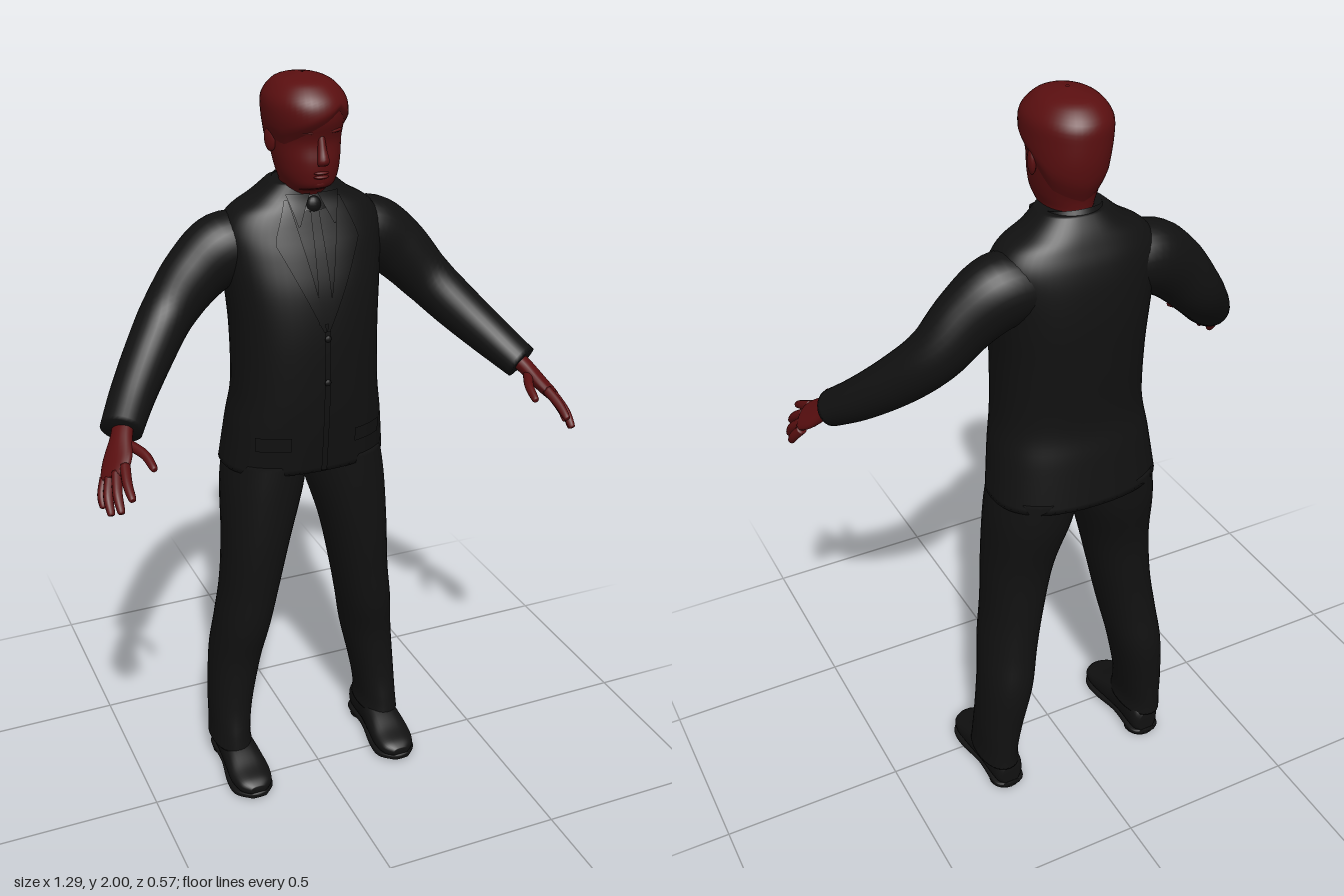
import * as THREE from 'three';

const V = (x, y, z) => new THREE.Vector3(x, y, z);
const lerp = THREE.MathUtils.lerp;
const suit = new THREE.MeshStandardMaterial({ color: 0x111111, side: THREE.DoubleSide });
suit.name = 'black cloth';
const skin = new THREE.MeshStandardMaterial({ color: 0x5a0f10, side: THREE.DoubleSide });
skin.name = 'dark red skin';

// Grid surface from fn(u, v); closed wraps u, caps fill both ends
function grid(fn, nu, nv, closed = false, caps = false) {
  const pos = [], idx = [], cols = closed ? nu : nu + 1;
  for (let i = 0; i <= nv; i++)
    for (let j = 0; j < cols; j++) pos.push(...fn(j / nu, i / nv).toArray());
  for (let i = 0; i < nv; i++)
    for (let j = 0; j < nu; j++) {
      const k = (j + 1) % cols, a = i * cols + j, b = a + cols, c = i * cols + k, d = c + cols;
      idx.push(a, b, c, b, d, c);
    }
  if (caps) for (const i of [0, nv]) {
    const mid = V(0, 0, 0), at = pos.length / 3;
    for (let j = 0; j < cols; j++) mid.add(V().fromArray(pos, (i * cols + j) * 3));
    pos.push(...mid.divideScalar(cols).toArray());
    for (let j = 0; j < cols; j++) {
      const a = i * cols + j, b = i * cols + (j + 1) % cols;
      idx.push(at, ...(i ? [b, a] : [a, b]));
    }
  }
  const g = new THREE.BufferGeometry();
  g.setAttribute('position', new THREE.Float32BufferAttribute(pos, 3));
  g.setIndex(idx);
  g.computeVertexNormals();
  return g;
}

// Rows are [x, y, z, radiusU, radiusV]; refine them with a Catmull-Rom curve
function smooth(rows, n = 6) {
  const out = [], last = rows.length - 1;
  for (let i = 0; i <= last * n; i++) {
    const k = Math.min(Math.floor(i / n), last - 1), t = i / n - k;
    const [a, b, c, d] = [Math.max(k - 1, 0), k, k + 1, Math.min(k + 2, last)].map(q => rows[q]);
    out.push(b.map((_, q) => 0.5 * (2 * b[q] + (c[q] - a[q]) * t
      + (2 * a[q] - 5 * b[q] + 4 * c[q] - d[q]) * t * t
      + (3 * b[q] - a[q] - 3 * c[q] + d[q]) * t * t * t)));
  }
  return out;
}
const bend = (v, p) => Math.sign(v) * Math.abs(v) ** p;

// Loft through refined rows; axis fixes the section normal, p below 1 is boxier
function loft(rows, { hint = V(1, 0, 0), axis = null, p = 1, sides = 28 } = {}) {
  const n = rows.length - 1;
  const frames = rows.map((r, i) => {
    const a = rows[Math.max(i - 1, 0)], b = rows[Math.min(i + 1, n)];
    const T = axis ? axis.clone() : V(b[0] - a[0], b[1] - a[1], b[2] - a[2]).normalize();
    const u = hint.clone().addScaledVector(T, -hint.dot(T)).normalize();
    return [V(r[0], r[1], r[2]), u, u.clone().cross(T), r];
  });
  return grid((s, t) => {
    const [c, u, v, r] = frames[Math.round(t * n)], a = s * Math.PI * 2;
    return c.clone().addScaledVector(u, bend(Math.cos(a), p) * r[3])
      .addScaledVector(v, bend(Math.sin(a), p) * r[4]);
  }, sides, n, true, true);
}

// Row of an upright loft at height y
function rowAt(rows, y) {
  let i = 0;
  while (i < rows.length - 2 && rows[i + 1][1] < y) i++;
  const a = rows[i], b = rows[i + 1];
  const t = THREE.MathUtils.clamp((y - a[1]) / (b[1] - a[1]), 0, 1);
  return a.map((v, q) => lerp(v, b[q], t));
}
const table = (pts, x) => {
  const i = Math.max(1, pts.findIndex(q => q[0] >= x));
  const [a, b] = [pts[i - 1], pts[i]];
  return lerp(a[1], b[1], (x - a[0]) / (b[0] - a[0]));
};

const UP = V(0, 1, 0);
// Upright rows given as [y, backZ, frontZ, halfWidth, centreX]
const upright = list => smooth(list.map(([y, b, f, w, x = 0]) => [x, y, (b + f) / 2, w, (f - b) / 2]));
const TORSO_P = 0.85;
const torso = upright([
  [0.975, -0.28, 0.028, 0.228], [1.1, -0.262, 0.042, 0.212], [1.2, -0.247, 0.05, 0.197],
  [1.35, -0.255, 0.052, 0.195], [1.47, -0.26, 0.04, 0.203], [1.56, -0.255, 0.015, 0.212],
  [1.62, -0.244, -0.008, 0.212], [1.665, -0.228, -0.025, 0.185], [1.7, -0.212, -0.038, 0.128],
  [1.735, -0.19, -0.045, 0.085]]);
const head = upright([
  [1.65, -0.175, -0.04, 0.062], [1.70, -0.172, -0.04, 0.06], [1.722, -0.17, -0.025, 0.06],
  [1.738, -0.17, 0.012, 0.063], [1.765, -0.175, 0.022, 0.073], [1.80, -0.188, 0.025, 0.08],
  [1.85, -0.2, 0.022, 0.086], [1.9, -0.203, 0.04, 0.092, -0.003], [1.94, -0.2, 0.037, 0.09, -0.005],
  [1.97, -0.175, 0.01, 0.07, -0.007], [1.985, -0.145, -0.02, 0.046, -0.008], [1.994, -0.085, -0.075, 0.004, -0.008]]);

// Panel lying on the front of the jacket between two edges x(t), from y0 to y1
function panel(y0, y1, xa, xb, lift) {
  return grid((u, v) => {
    const y = lerp(y0, y1, v), x = lerp(xa(v), xb(v), u), r = rowAt(torso, y);
    const k = Math.min(1, Math.abs(x) / r[3]) ** (2 / TORSO_P);
    return V(x, y, r[2] + r[4] * (1 - k) ** (TORSO_P / 2) + lift);
  }, 8, 16);
}

export function createModel() {
  const model = new THREE.Group();
  model.name = 'suitedMan';
  const add = (name, geo, mat, parent = model) => {
    const m = new THREE.Mesh(geo, mat);
    m.name = name;
    parent.add(m);
    return m;
  };

  // Jacket, shirt front and tie
  add('jacket', loft(torso, { axis: UP, p: TORSO_P, sides: 48 }), suit);
  add('shirtFront', panel(1.4, 1.7, t => -0.07 * t, t => 0.07 * t, 0.002), suit);
  add('tie', panel(1.4, 1.685, t => -0.02 + 0.009 * t, t => 0.02 - 0.009 * t, 0.007), suit);
  add('tieKnot', new THREE.SphereGeometry(0.02, 14, 10).scale(1, 1.1, 0.7).translate(0, 1.685, -0.03), suit);
  add('jacketEdge', panel(0.98, 1.38, t => -0.004, t => 0.012, 0.004), suit);
  for (const y of [1.24, 1.36])
    add('button', new THREE.SphereGeometry(0.009, 10, 6).scale(1, 1, 0.5).translate(0.004, y, 0.057), suit);
  // Collar, higher at the nape
  add('collar', grid((u, v) => {
    const a = u * Math.PI * 2, back = (1 - Math.sin(a)) / 2, r = lerp(0.094, 0.074, v);
    return V(Math.cos(a) * r, lerp(1.672, 1.705, back) + 0.042 * v,
      -0.112 + Math.sin(a) * (r - 0.002));
  }, 36, 4, true), suit);

  // Head, nose, lips and swept hair
  add('head', loft(head, { axis: UP, p: 0.95, sides: 40 }), skin);
  add('nose', loft(smooth([[0, 1.868, 0.018, 0.008, 0.008], [0, 1.835, 0.026, 0.011, 0.011],
    [0, 1.808, 0.034, 0.015, 0.013], [0, 1.796, 0.03, 0.013, 0.008]], 4), { axis: V(0, -1, 0), sides: 14 }), skin);
  for (const y of [1.766, 1.776])
    add('lip', new THREE.SphereGeometry(0.02, 14, 8).scale(1, 0.25, 0.5).translate(0, y, 0.02), skin);
  add('chin', new THREE.SphereGeometry(0.024, 14, 10).scale(1.1, 0.6, 0.8).translate(0, 1.748, 0), skin);
  const hairline = [[0, 1.855], [0.1, 1.885], [0.17, 1.925], [0.25, 1.895], [0.35, 1.86],
    [0.42, 1.84], [0.5, 1.85], [0.6, 1.79], [0.75, 1.76], [0.9, 1.79], [1, 1.855]];
  add('hair', grid((u, v) => {
    const a = u * Math.PI * 2, low = table(hairline, u);
    const y = lerp(low, 1.994, Math.sin(v * Math.PI / 2)), r = rowAt(head, y);
    const out = 0.009 * (1 - v ** 4) * Math.min(1, 0.1 + v * 8);
    return V(r[0] + bend(Math.cos(a), 0.95) * (r[3] + out), y + 0.006 * v,
      r[2] + bend(Math.sin(a), 0.95) * (r[4] + out));
  }, 48, 24, true), skin);

  for (const s of [1, -1]) {
    const side = new THREE.Group();
    side.name = s > 0 ? 'leftSide' : 'rightSide';
    model.add(side);
    const flip = rows => smooth(rows.map(([x, ...r]) => [x * s, ...r]));

    // Face details
    add('ear', new THREE.SphereGeometry(0.03, 14, 12).scale(0.35, 1.1, 0.7)
      .rotateY(-s * 0.3).translate(s * 0.088, 1.845, -0.09), skin, side);
    add('brow', new THREE.SphereGeometry(0.026, 14, 8).scale(1, 0.22, 0.45)
      .rotateY(s * 0.4).translate(s * 0.036, 1.875, 0.013), skin, side);
    add('eye', new THREE.SphereGeometry(0.013, 12, 8).scale(1, 0.4, 0.25)
      .rotateY(s * 0.4).translate(s * 0.034, 1.857, 0.009), suit, side);

    // Lapel, collar point and pocket flap
    add('lapel', panel(1.38, 1.7, t => s * 0.065 * t,
      t => s * (t < 0.7 ? 0.008 + 0.15 * t : 0.113 - 0.13 * (t - 0.7)), 0.009), suit, side);
    add('shirtCollarPoint', panel(1.64, 1.715, t => s * (0.045 - 0.035 * t), t => s * (0.05 + 0.02 * t), 0.014), suit, side);
    add('pocketFlap', panel(1.05, 1.09, t => s * 0.09, t => s * 0.175, 0.006), suit, side);

    // Sleeve and cuff
    add('sleeve', loft(flip([
      [0.12, 1.572, -0.14, 0.075, 0.085], [0.2, 1.566, -0.14, 0.093, 0.086],
      [0.28, 1.512, -0.133, 0.084, 0.074], [0.36, 1.425, -0.115, 0.071, 0.068],
      [0.43, 1.348, -0.058, 0.064, 0.063], [0.5, 1.275, 0.018, 0.055, 0.057],
      [0.552, 1.222, 0.09, 0.046, 0.053]]), { hint: UP }), suit, side);

    // Hand: wrist and palm, then fingers and thumb
    const across = V(s * 0.7, -0.55, -0.45);
    add('palm', loft(flip([
      [0.54, 1.235, 0.072, 0.03, 0.022], [0.558, 1.212, 0.11, 0.032, 0.021],
      [0.58, 1.18, 0.15, 0.044, 0.019], [0.597, 1.158, 0.18, 0.042, 0.016],
      [0.602, 1.15, 0.19, 0.034, 0.01]]), { hint: across, sides: 20 }), skin, side);
    const fingers = [
      ['indexFinger', [0.574, 1.178, 0.192], [0.583, 1.155, 0.24], [0.584, 1.134, 0.28]],
      ['middleFinger', [0.594, 1.163, 0.188], [0.607, 1.13, 0.235], [0.609, 1.1, 0.268]],
      ['ringFinger', [0.608, 1.147, 0.175], [0.624, 1.115, 0.212], [0.626, 1.083, 0.238]],
      ['littleFinger', [0.616, 1.138, 0.158], [0.631, 1.108, 0.182], [0.634, 1.085, 0.2]],
      ['thumb', [0.55, 1.205, 0.13], [0.523, 1.195, 0.185], [0.515, 1.178, 0.232]]];
    for (const [name, a, b, c] of fingers) {
      const tip = c.map((v, i) => v + (c[i] - b[i]) * 0.1);
      add(name, loft(flip([[...a, 0.013, 0.013], [...b, 0.012, 0.012], [...c, 0.009, 0.009],
        [...tip, 0.002, 0.002]]), { hint: across, sides: 12 }), skin, side);
    }

    // Trouser leg
    const leg = upright([
      [0.085, -0.216, -0.018, 0.057, 0.234], [0.13, -0.216, -0.025, 0.054, 0.234],
      [0.22, -0.222, -0.038, 0.06, 0.226], [0.36, -0.234, -0.035, 0.07, 0.206],
      [0.48, -0.22, -0.01, 0.075, 0.187], [0.6, -0.213, 0.002, 0.079, 0.167],
      [0.75, -0.218, 0.014, 0.091, 0.146], [0.9, -0.252, 0.018, 0.109, 0.121],
      [1.0, -0.262, 0.018, 0.11, 0.105]]).map(([x, ...r]) => [x * s, ...r]);
    add('trouserLeg', loft(leg, { axis: UP, p: 0.92, sides: 32 }), suit, side);

    // Shoe with sole and heel
    const Z = V(0, 0, 1);
    add('shoe', loft(flip([
      [0.226, 0.05, -0.208, 0.026, 0.032], [0.226, 0.058, -0.185, 0.042, 0.05],
      [0.228, 0.062, -0.1, 0.047, 0.054], [0.227, 0.052, -0.03, 0.054, 0.044],
      [0.226, 0.04, 0.03, 0.058, 0.03], [0.225, 0.034, 0.075, 0.048, 0.022],
      [0.225, 0.03, 0.098, 0.022, 0.012]]), { axis: Z, p: 0.8 }), suit, side);
    add('sole', loft(flip([
      [0.226, 0.016, -0.21, 0.026, 0.008], [0.226, 0.016, -0.185, 0.046, 0.009],
      [0.227, 0.017, -0.09, 0.046, 0.009], [0.227, 0.011, 0, 0.06, 0.01],
      [0.226, 0.011, 0.06, 0.058, 0.01], [0.225, 0.016, 0.102, 0.024, 0.008]]), { axis: Z, p: 0.5 }), suit, side);
    add('heel', new THREE.CylinderGeometry(0.045, 0.045, 0.016, 20)
      .translate(s * 0.226, 0.008, -0.163), suit, side);
  }
  return model;
}
